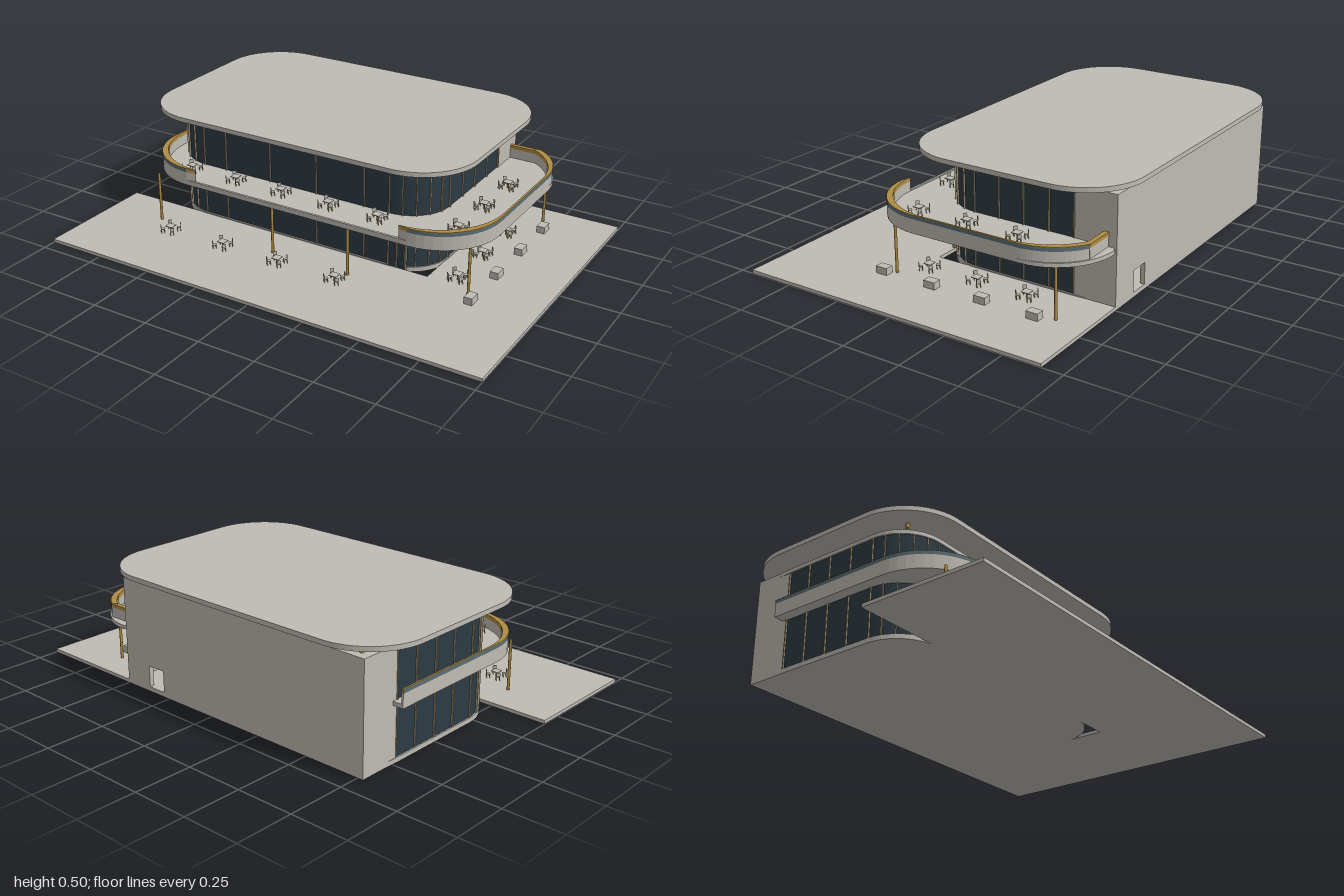
import * as THREE from 'three';

const mat = (name, color, side = THREE.FrontSide) =>
  Object.assign(new THREE.MeshStandardMaterial({ color, side }), { name });

// Points [x, z] along a corner arc; angles in degrees, 0 = +x, 90 = +z
function arc(cx, cz, r, a0, a1, n = 12) {
  const pts = [];
  for (let i = 0; i <= n; i++) {
    const a = THREE.MathUtils.degToRad(a0 + (a1 - a0) * i / n);
    pts.push([cx + r * Math.cos(a), cz + r * Math.sin(a)]);
  }
  return pts;
}

// Horizontal plate with the given [x, z] outline
function plate(pts, y0, y1) {
  const shape = new THREE.Shape(pts.map(([x, z]) => new THREE.Vector2(x, -z)));
  const g = new THREE.ExtrudeGeometry(shape, { depth: y1 - y0, bevelEnabled: false });
  return g.rotateX(-Math.PI / 2).translate(0, y0, 0);
}

// Upright sheet following a path of [x, z] points
function sheet(pts, y0, y1) {
  const pos = [], idx = [];
  pts.forEach(([x, z], i) => {
    pos.push(x, y0, z, x, y1, z);
    if (i) { const b = 2 * i; idx.push(b - 2, b, b - 1, b, b + 1, b - 1); }
  });
  const g = new THREE.BufferGeometry();
  g.setAttribute('position', new THREE.Float32BufferAttribute(pos, 3));
  g.setIndex(idx);
  g.computeVertexNormals();
  return g;
}

export function createModel() {
  const concrete = mat('concrete', 0xbfbbb4);
  const glass = mat('dark glass', 0x2d3b43, THREE.DoubleSide);
  const slate = mat('slate glass', 0x5b6d74, THREE.DoubleSide);
  const gold = mat('gold metal', 0xb08c42);
  const tan = mat('tan frame', 0xa99a80);

  const model = new THREE.Group();
  model.name = 'pavilion';
  const add = (name, geo, m, parent = model) => {
    const mesh = new THREE.Mesh(geo, m);
    mesh.name = name;
    parent.add(mesh);
    return mesh;
  };
  const box = (name, w, h, d, x, y, z, m, parent) =>
    add(name, new THREE.BoxGeometry(w, h, d).translate(x, y, z), m, parent);
  const post = (name, r, y0, y1, x, z, m) =>
    add(name, new THREE.CylinderGeometry(r, r, y1 - y0, 12).translate(x, (y0 + y1) / 2, z), m);

  // Paving and ground floor
  add('paving', plate([[-1, 0.155], [0.5, 0.155], [0.5, -0.66], [1, -0.66], [1, 0.695], [-1, 0.695]], 0, 0.015), concrete);
  const footprint = o => [[-0.775 - o, -0.48], ...arc(-0.595, -0.025, 0.18 + o, 180, 90, 10),
    ...arc(0.32, -0.025, 0.18 + o, 90, 0, 10), [0.5 + o, -0.48]];
  const floorPlan = [...footprint(0.003), [0.495, -0.65], [-0.77, -0.65]];
  add('groundFloor', plate(floorPlan, 0, 0.02), concrete);
  add('upperCeiling', plate(floorPlan, 0.443, 0.46), concrete);

  // Glazing of both storeys
  add('lowerGlazing', sheet(footprint(-0.003), 0.02, 0.235), glass);
  add('upperGlazing', sheet(footprint(-0.003), 0.25, 0.443), glass);

  // Mullions: front, rounded corners, sides
  const mullions = [-0.48, -0.253, -0.025, 0.203].map(x => [x, 0.155, 0]);
  for (let i = 0; i <= 5; i++) {
    const a = i * Math.PI / 10, c = 0.18 * Math.cos(a), s = 0.18 * Math.sin(a);
    mullions.push([0.32 + c, -0.025 + s, Math.PI / 2 - a], [-0.595 - c, -0.025 + s, a - Math.PI / 2]);
  }
  for (const z of [-0.14, -0.253, -0.367, -0.478]) {
    mullions.push([0.5, z, Math.PI / 2], [-0.775, z, -Math.PI / 2]);
  }
  for (const [x, z, turn] of mullions) {
    for (const [y0, y1] of [[0.02, 0.235], [0.25, 0.443]]) {
      const m = box('mullion', 0.005, y1 - y0, 0.007, 0, (y0 + y1) / 2, 0, tan);
      m.position.set(x, 0, z);
      m.rotation.y = turn;
    }
  }

  // Entrance door frame
  for (const x of [0.32, 0.36, 0.4]) box('doorFrame', 0.006, 0.12, 0.012, x, 0.08, 0.157, tan);
  box('doorHead', 0.086, 0.008, 0.012, 0.36, 0.14, 0.157, tan);
  box('doorGlass', 0.08, 0.12, 0.004, 0.36, 0.078, 0.156, glass);

  // Back wall with service opening, and its side returns
  const wall = new THREE.Shape([[-0.775, 0], [0.5, 0], [0.5, 0.46], [-0.775, 0.46]].map(p => new THREE.Vector2(...p)));
  wall.holes.push(new THREE.Path([[0.28, 0.02], [0.28, 0.112], [0.365, 0.112], [0.365, 0.02]].map(p => new THREE.Vector2(...p))));
  add('backWall', new THREE.ExtrudeGeometry(wall, { depth: 0.02, bevelEnabled: false }).translate(0, 0, -0.66), concrete);
  for (const x of [-0.765, 0.49]) box('sideWall', 0.02, 0.46, 0.165, x, 0.23, -0.5625, concrete);

  // Balcony deck, which is also the upper floor
  add('balconyDeck', plate([[-0.82, -0.5], ...arc(-0.555, 0.07, 0.265, 180, 90), ...arc(0.5, 0.07, 0.265, 90, 0),
    ...arc(0.515, -0.41, 0.25, 0, -90), [0.5, -0.645], [-0.76, -0.645], [-0.76, -0.5]], 0.233, 0.25), concrete);
  box('frontKerb', 1.055, 0.006, 0.01, -0.0275, 0.252, 0.33, concrete);

  // Parapets, thicker around the corners: inner curves have a larger radius
  const leftPath = (o, r) => [[-0.82 + o, -0.5], ...arc(-0.82 + o + r, 0.335 - o - r, r, 180, 90)];
  const rightPath = (o, r) => [...arc(0.765 - o - r, 0.335 - o - r, r, 90, 0),
    ...arc(0.765 - o - r, -0.66 + o + r, r, 0, -60)];
  for (const [side, path] of [['left', leftPath], ['right', rightPath]]) {
    const outer = path(0, 0.265);
    const ring = [...outer, ...path(0.008, 0.3).reverse()];
    add(side + 'Parapet', plate(ring, 0.233, 0.292), concrete);
    add(side + 'Handrail', plate(ring, 0.292, 0.309), gold);
    add(side + 'RailGlass', sheet(path(-0.001, 0.266), 0.292, 0.307), slate);
  }
  box('backParapet', 0.13, 0.055, 0.02, 0.565, 0.265, -0.615, concrete);
  box('backHandrail', 0.13, 0.015, 0.02, 0.565, 0.3, -0.615, gold);

  // Columns under the balcony
  for (const [x, z] of [[-0.73, 0.305], [-0.14, 0.31], [0.22, 0.31], [0.705, 0.205], [0.705, -0.53]]) {
    post('balconyColumn', 0.006, 0.015, 0.235, x, z, gold);
  }

  // Floating roof on short posts
  add('roof', plate([...arc(-0.615, 0.015, 0.25, 180, 90, 16), ...arc(0.38, 0.015, 0.25, 90, 0, 16),
    ...arc(0.38, -0.45, 0.25, 0, -90, 16), ...arc(-0.615, -0.45, 0.25, -90, -180, 16)], 0.48, 0.5), concrete);
  for (const x of [-0.73, 0.45]) for (const z of [0.11, -0.62]) post('roofPost', 0.008, 0.46, 0.48, x, z, gold);

  // Tables with four chairs turned to the diagonals
  const diningSet = (x, y, z) => {
    const set = new THREE.Group();
    set.name = 'diningSet';
    set.position.set(x, y, z);
    model.add(set);
    box('tableTop', 0.034, 0.003, 0.034, 0, 0.028, 0, concrete, set);
    box('tableLeg', 0.005, 0.027, 0.005, 0, 0.0135, 0, gold, set);
    for (let i = 0; i < 4; i++) {
      const chair = new THREE.Group();
      chair.name = 'chair';
      chair.rotation.y = Math.PI / 4 + i * Math.PI / 2;
      set.add(chair);
      box('seat', 0.016, 0.003, 0.016, 0, 0.017, 0.034, concrete, chair);
      box('backrest', 0.016, 0.015, 0.002, 0, 0.028, 0.042, concrete, chair);
      for (const s of [-1, 1]) for (const lz of [0.028, 0.041]) {
        box('chairLeg', 0.002, 0.016, 0.002, s * 0.007, 0.008, lz, gold, chair);
      }
    }
  };
  for (let i = 0; i < 4; i++) diningSet(-0.62 + i * 0.274, 0.015, 0.38);
  for (let i = 0; i < 5; i++) diningSet(-0.6 + i * 0.228, 0.25, 0.235);
  for (let i = 0; i < 3; i++) {
    diningSet(0.615, 0.015, 0.115 - i * 0.23);
    diningSet(0.625, 0.25, 0.15 - i * 0.23);
  }

  // Planter blocks along the side
  for (let i = 0; i < 4; i++) box('planter', 0.036, 0.03, 0.052, 0.735, 0.03, 0.245 - i * 0.234, concrete);

  return model;
}
